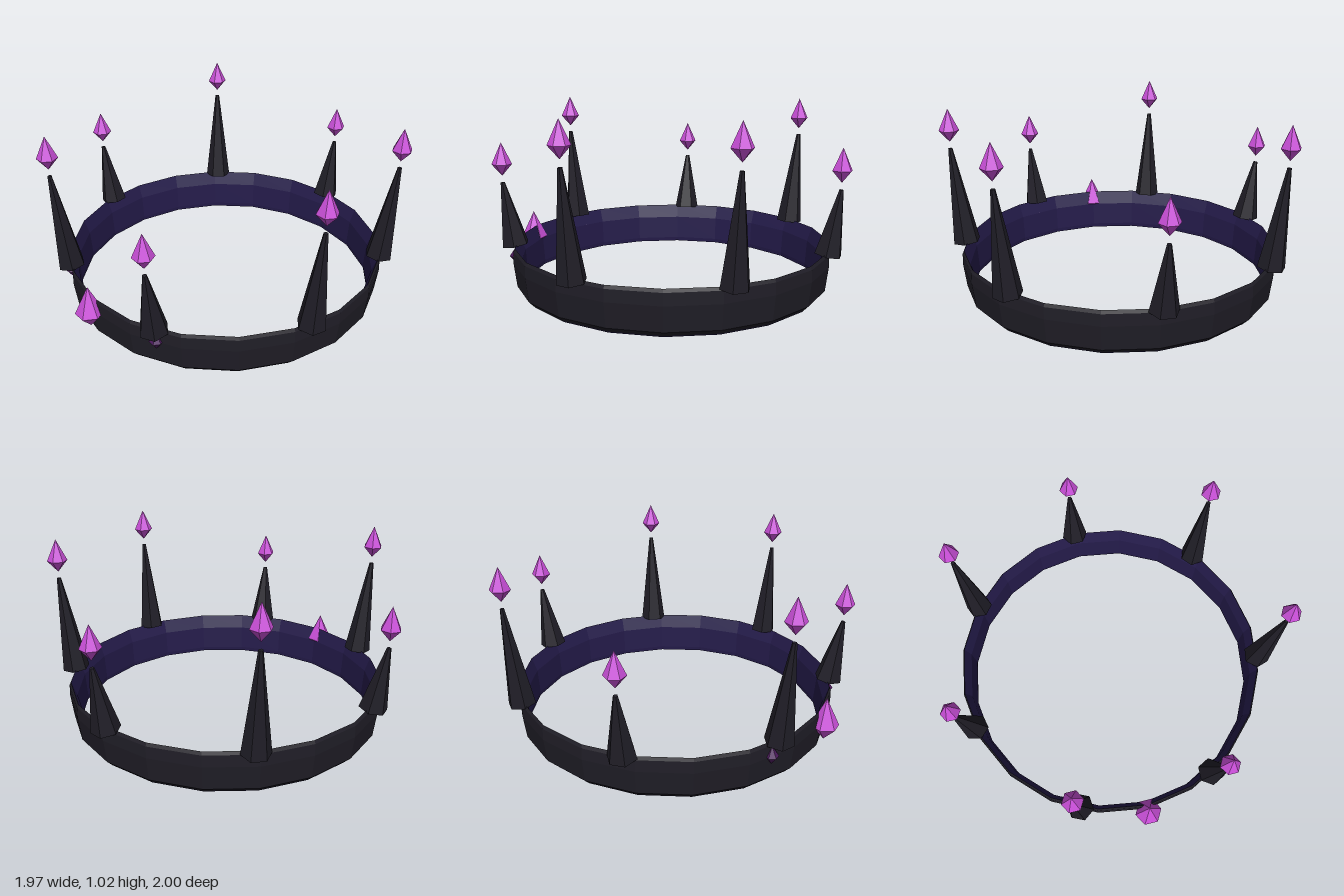
import * as THREE from 'three';

const paint = (color) => new THREE.MeshStandardMaterial({ color, flatShading: true });
const black = paint(0x201e27);
const indigo = paint(0x241b4a);
const violet = paint(0xc94fd8);
const plum = paint(0x4b1a5c);

function lathe(name, profile, sides, material, phiStart = 0) {
  const points = profile.map(([r, y]) => new THREE.Vector2(r, y));
  const mesh = new THREE.Mesh(new THREE.LatheGeometry(points, sides, phiStart), material);
  mesh.name = name;
  return mesh;
}

// Six-sided double pyramid, widest at its origin
function gem(name, radius, up, down, material) {
  return lathe(name, [[0, -down], [radius, 0], [0, up]], 6, material, Math.PI / 6);
}

// Tapered six-sided spike whose origin is at the base
function spike(length) {
  const geometry = new THREE.CylinderGeometry(0.012, 0.078, length, 6);
  geometry.rotateY(Math.PI / 6).translate(0, length / 2, 0);
  const mesh = new THREE.Mesh(geometry, black);
  mesh.name = 'spike';
  return mesh;
}

export function createModel() {
  const crown = new THREE.Group();
  crown.name = 'crown';
  const centre = new THREE.Vector3(-0.007, 0, 0.005);

  // Outer band and coloured inner lining
  const band = lathe('outerBand',
    [[0.866, 0.008], [0.892, 0.035], [0.908, 0.17], [0.906, 0.235], [0.897, 0.252]], 20, black);
  const lining = lathe('innerLining',
    [[0.897, 0.252], [0.867, 0.17], [0.857, 0.025], [0.859, 0], [0.866, 0.008]], 20, indigo);
  band.position.copy(centre);
  lining.position.copy(centre);
  crown.add(band, lining);

  // Spikes leaning outwards, each with a gem floating above its tip
  const tips = [0.6, 0.8, 0.8, 0.6, 0.8, 0.6, 0.8];
  const baseY = 0.24, baseR = 0.897, tipR = 0.953;
  tips.forEach((tipY, i) => {
    const a = THREE.MathUtils.degToRad(26.8) + (i * Math.PI * 2) / 7;
    const holder = new THREE.Group();
    holder.name = 'spikeHolder';
    holder.position.copy(centre);
    holder.rotation.y = a;
    const s = spike(Math.hypot(tipY - baseY, tipR - baseR));
    s.position.set(0, baseY, baseR);
    s.rotation.x = Math.atan2(tipR - baseR, tipY - baseY);
    holder.add(s);

    const g = gem('floatingGem', 0.056, 0.122, 0.065, violet);
    g.position.set(centre.x + tipR * Math.sin(a), tipY + 0.103, centre.z + tipR * Math.cos(a));
    crown.add(holder, g);
  });

  // Large front gem
  const front = gem('frontGem', 0.077, 0.16, 0.085, violet);
  front.position.set(-0.007, 0.175, 0.932);
  crown.add(front);

  // Small dark gems set in the band on either side
  for (const side of [-1, 1]) {
    const g = gem('sideGem', 0.038, 0.055, 0.047, plum);
    g.position.set(centre.x + side * 0.41, 0.173, 0.8);
    crown.add(g);
  }
  return crown;
}
